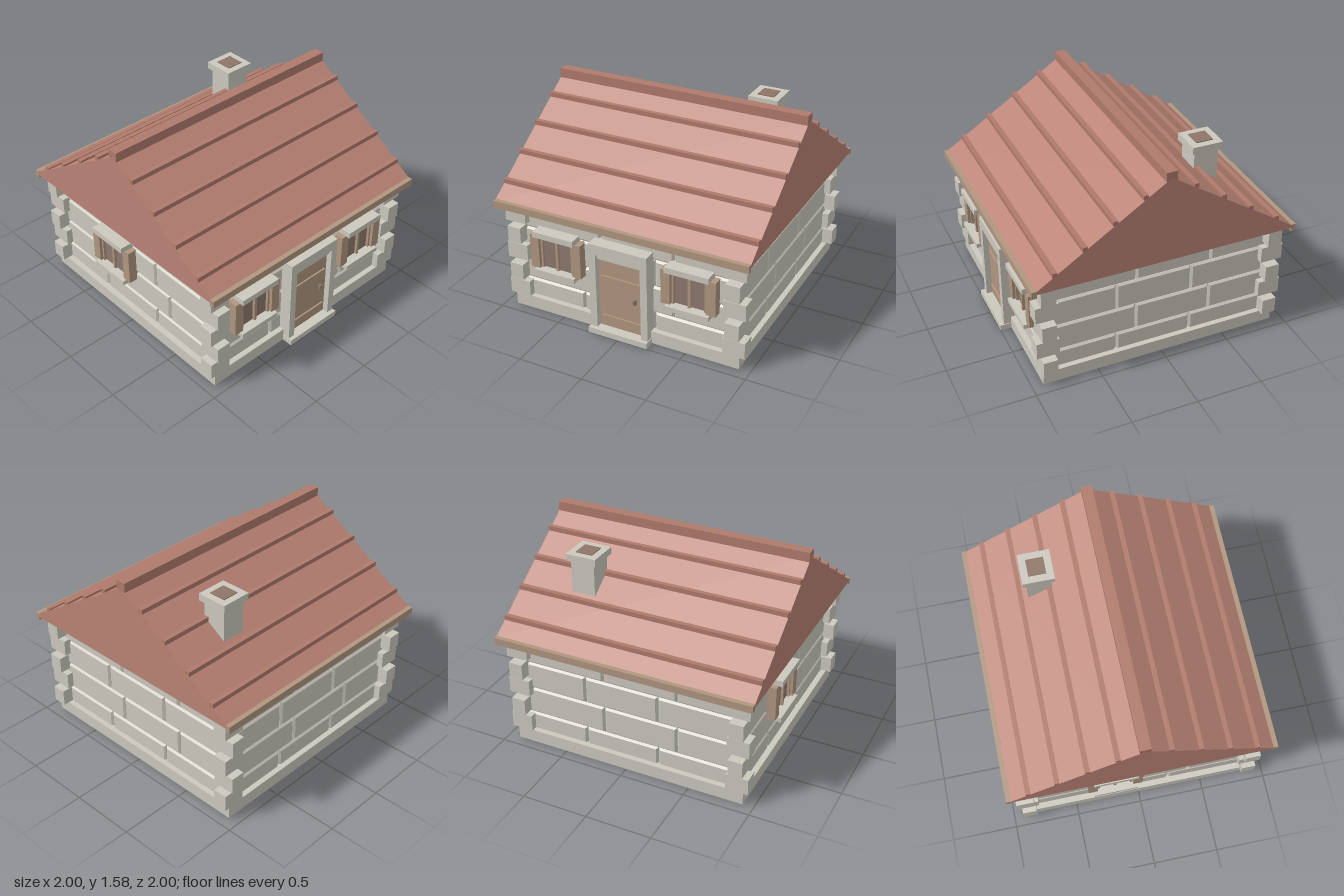
import * as THREE from 'three';

const mat = (color) => new THREE.MeshStandardMaterial({ color });

export function createModel() {
  const house = new THREE.Group();
  house.name = 'cottage';
  const stone = mat(0xcbc8be), tile = mat(0xba8375), tileEdge = mat(0xb07a6c);
  const wood = mat(0xb09680), darkWood = mat(0x8c796e), flueMat = mat(0x8f7568);

  // Box given by its minimum and maximum on each axis
  function box(parent, name, material, x0, x1, y0, y1, z0, z1) {
    const mesh = new THREE.Mesh(new THREE.BoxGeometry(x1 - x0, y1 - y0, z1 - z0), material);
    mesh.position.set((x0 + x1) / 2, (y0 + y1) / 2, (z0 + z1) / 2);
    mesh.name = name;
    parent.add(mesh);
    return mesh;
  }

  // Group holding one assembly
  function part(name, parent = house) {
    const g = new THREE.Group();
    g.name = name;
    parent.add(g);
    return g;
  }

  // Stone block with chamfered face, built on a wall facing +z
  function block(parent, u0, u1, y0, y1) {
    const c = 0.014;
    const s = new THREE.Shape();
    s.moveTo(u0 + c, y0 + c).lineTo(u1 - c, y0 + c).lineTo(u1 - c, y1 - c).lineTo(u0 + c, y1 - c);
    const geo = new THREE.ExtrudeGeometry(s, {
      depth: 0.01, bevelEnabled: true, bevelSize: c, bevelThickness: c, bevelSegments: 1,
    });
    const mesh = new THREE.Mesh(geo, stone);
    mesh.position.z = 0.873 - 0.01 - c;
    mesh.name = 'wallBlock';
    parent.add(mesh);
  }

  // Plinth and wall core
  box(house, 'plinth', stone, -0.918, 0.913, 0, 0.1, -0.915, 0.915);
  box(house, 'wallCore', stone, -0.852, 0.852, 0.05, 0.88, -0.852, 0.852);

  // Four coursed walls with staggered joints
  const rows = [[-0.865, -0.34, 0.24, 0.865], [-0.865, -0.19, 0.39, 0.865]];
  for (let side = 0; side < 4; side++) {
    const wall = part('wall');
    wall.rotation.y = side * Math.PI / 2;
    for (let r = 0; r < 4; r++) {
      const y = 0.02 + r * 0.216, e = rows[r % 2];
      for (let i = 0; i < 3; i++) block(wall, e[i] + 0.003, e[i + 1] - 0.003, y + 0.002, y + 0.214);
    }
  }

  // Interlocking corner stones, alternately long in x and in z
  const corners = part('cornerStones');
  for (const sx of [-1, 1]) for (const sz of [-1, 1]) {
    for (let i = 0; i < 5; i++) {
      const y = 0.1 + i * 0.154;
      const long = [0.787, 0.957], short = [0.815, 0.923];
      const [x, z] = i % 2 ? [short, long] : [long, short];
      const q = box(corners, 'cornerStone', stone, x[0], x[1], y, y + 0.126, z[0], z[1]);
      q.position.x *= sx;
      q.position.z *= sz;
    }
  }

  // Solid gabled roof
  const roof = part('roof');
  const gable = new THREE.Shape();
  gable.moveTo(-0.98, 0.87).lineTo(0.98, 0.87).lineTo(0.98, 0.885).lineTo(0, 1.53).lineTo(-0.98, 0.885);
  const prism = new THREE.ExtrudeGeometry(gable, { depth: 2, bevelEnabled: false });
  prism.translate(0, 0, -1).rotateY(Math.PI / 2);
  const slopes = new THREE.Mesh(prism, tile);
  slopes.name = 'roofSlopes';
  roof.add(slopes);

  // Ridge cap, course battens and eave boards
  box(roof, 'ridgeCap', tileEdge, -1, 1, 1.5, 1.575, -0.04, 0.04);
  for (const s of [-1, 1]) {
    for (const [z, top] of [[0.185, 1.44], [0.4, 1.295], [0.618, 1.15], [0.833, 1.005]]) {
      box(roof, 'roofBatten', tileEdge, -1, 1, top - 0.035, top, s * z - 0.018, s * z + 0.018);
    }
    box(roof, 'eaveBoard', wood, -1, 1, 0.843, 0.897, s * 0.982 - 0.018, s * 0.982 + 0.018);
  }

  // Chimney with a ring-shaped cap and a flue
  const chimney = part('chimney');
  chimney.position.set(0.5, 0, -0.47);
  box(chimney, 'chimneyShaft', stone, -0.093, 0.093, 1.0, 1.42, -0.093, 0.093);
  box(chimney, 'chimneyCap', stone, -0.118, 0.118, 1.412, 1.465, -0.118, 0.118);
  box(chimney, 'flue', flueMat, -0.065, 0.065, 1.43, 1.471, -0.065, 0.065);

  // Door with stone surround and step
  const door = part('door');
  door.position.x = -0.003;
  box(door, 'doorStep', stone, -0.238, 0.238, 0, 0.045, 0.88, 1.0);
  for (const s of [-1, 1]) {
    box(door, 'doorJamb', stone, s * 0.205 - 0.027, s * 0.205 + 0.027, 0.045, 0.73, 0.85, 0.97);
  }
  box(door, 'doorLintel', stone, -0.178, 0.178, 0.648, 0.73, 0.85, 0.97);
  box(door, 'doorTransom', stone, -0.178, 0.178, 0.605, 0.648, 0.85, 0.945);
  box(door, 'doorLeaf', wood, -0.178, 0.178, 0.045, 0.605, 0.85, 0.925);
  for (const y of [0.127, 0.457]) {
    box(door, 'doorStrap', wood, -0.158, 0.16, y - 0.014, y + 0.014, 0.92, 0.937);
  }
  box(door, 'doorHandle', darkWood, 0.105, 0.123, 0.3, 0.338, 0.92, 0.95);

  // Shuttered window on a wall facing +z, centred on u
  function makeWindow(u, turn) {
    const pivot = part('window');
    pivot.rotation.y = turn;
    const w = part('windowParts', pivot);
    w.position.x = u;
    box(w, 'windowPanel', darkWood, -0.13, 0.13, 0.385, 0.665, 0.85, 0.9);
    box(w, 'mullion', wood, -0.011, 0.011, 0.385, 0.665, 0.88, 0.92);
    for (const s of [-1, 1]) {
      box(w, 'windowStile', wood, s * 0.125 - 0.008, s * 0.125 + 0.008, 0.385, 0.665, 0.88, 0.92);
      box(w, 'shutter', wood, s * 0.174 - 0.036, s * 0.174 + 0.036, 0.387, 0.66, 0.85, 0.94);
    }
    box(w, 'windowLintel', stone, -0.168, 0.168, 0.657, 0.702, 0.85, 0.97);
    box(w, 'windowSill', stone, -0.168, 0.168, 0.355, 0.39, 0.85, 0.97);
  }
  makeWindow(0.53, 0);
  makeWindow(-0.535, 0);
  makeWindow(-0.19, -Math.PI / 2);

  return house;
}
